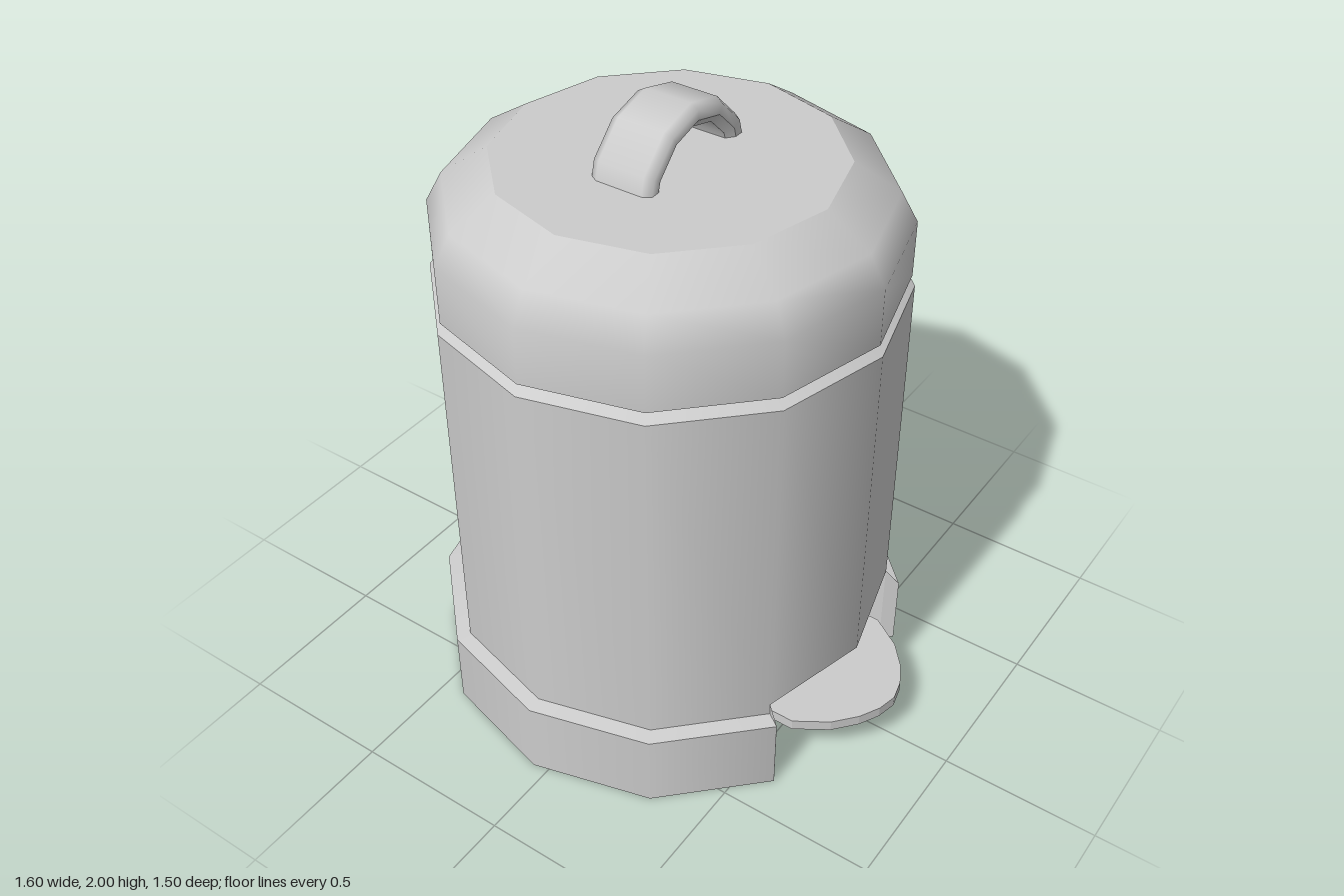
import * as THREE from 'three';

const SIDES = 12;
const CX = -0.05; // axis of the round parts

export function createModel() {
  const model = new THREE.Group();
  const mat = new THREE.MeshStandardMaterial({ color: 0xcccccc, side: THREE.DoubleSide });

  const add = (name, geometry, parent = model) => {
    const mesh = new THREE.Mesh(geometry, mat);
    mesh.name = name;
    parent.add(mesh);
    return mesh;
  };

  // Each profile [r, y]... is smooth within itself; separate profiles meet in sharp edges.
  // An open ring leaves out the two sides around +x.
  const turned = (name, profiles, open = false) => {
    const group = new THREE.Group();
    group.name = name;
    group.position.x = CX;
    for (const p of profiles) {
      const pts = p.map(([r, y]) => new THREE.Vector2(r, y));
      add(name + 'Surface', open
        ? new THREE.LatheGeometry(pts, SIDES - 2, Math.PI * 2 / 3, Math.PI * 5 / 3)
        : new THREE.LatheGeometry(pts, SIDES), group);
    }
    model.add(group);
  };

  const flatFaces = (triangles) => {
    const g = new THREE.BufferGeometry();
    g.setAttribute('position', new THREE.Float32BufferAttribute(triangles.flat(), 3));
    g.computeVertexNormals();
    return g;
  };

  // Base skirt with a gap for the pedal, and the lowest strip of the body
  turned('baseSkirt', [[[0.75, 0], [0.75, 0.25]], [[0.75, 0.25], [0.705, 0.262]]], true);
  turned('bodyFoot', [[[0.705, 0.262], [0.705, 0.302]]], true);

  // Hollow body with a bevelled rim
  turned('body', [[[0.705, 0.302], [0.705, 1.425]], [[0.705, 1.425], [0.66, 1.456]]]);

  // Domed lid with a flat top
  turned('lid', [
    [[0.65, 1.46], [0.695, 1.46]],
    [[0.695, 1.46], [0.695, 1.64], [0.645, 1.733], [0.508, 1.822]],
    [[0.508, 1.822], [0, 1.822]],
  ]);

  // Walls of the pedal recess: [x, z, top height]
  const path = [
    [0.6, 0.375, 0.25], [0.56, 0.352, 0.302], [0.33, 0.35, 0.262],
    [0.33, -0.35, 0.262], [0.56, -0.352, 0.302], [0.6, -0.375, 0.25],
  ];
  const walls = [];
  for (let i = 0; i < path.length - 1; i++) {
    const [ax, az, ah] = path[i], [bx, bz, bh] = path[i + 1];
    walls.push([ax, 0, az], [bx, 0, bz], [bx, bh, bz], [ax, 0, az], [bx, bh, bz], [ax, ah, az]);
  }
  add('recessWalls', flatFaces(walls));

  // Sloping roof of the recess, facing down
  const roof = [
    [0.33, 0.262, -0.35], [0.56, 0.302, -0.352], [0.655, 0.302, 0],
    [0.56, 0.302, 0.352], [0.33, 0.262, 0.35],
  ];
  const roofFaces = [];
  for (let i = 1; i < roof.length - 1; i++) roofFaces.push(roof[0], roof[i], roof[i + 1]);
  add('recessRoof', flatFaces(roofFaces));

  // Foot pedal
  const half = [[0.33, 0.265], [0.59, 0.265], [0.69, 0.2], [0.75, 0.13], [0.785, 0.065], [0.8, 0]];
  const outline = [...half, ...half.slice(0, -1).reverse().map(([x, z]) => [x, -z])];
  const pedal = new THREE.ExtrudeGeometry(
    new THREE.Shape(outline.map(([x, z]) => new THREE.Vector2(x, z))),
    { depth: 0.036, bevelEnabled: false });
  pedal.rotateX(-Math.PI / 2).translate(0, 0.13, 0);
  add('pedal', pedal);

  // Arched handle: a rounded strap section swept through half a turn about the x direction
  const straps = [
    [[0.205, -0.1], [0.235, -0.1], [0.25, -0.075], [0.25, 0.075], [0.235, 0.1], [0.205, 0.1]],
    [[0.205, 0.1], [0.18, 0.08]],
    [[0.18, 0.08], [0.18, -0.08]],
    [[0.18, -0.08], [0.205, -0.1]],
  ];
  const handle = new THREE.Group();
  handle.name = 'handle';
  handle.position.set(CX - 0.003, 1.75, 0);
  for (const s of straps) {
    const g = new THREE.LatheGeometry(s.map(([r, w]) => new THREE.Vector2(r, w)), SIDES / 2, 0, Math.PI);
    g.rotateZ(Math.PI / 2); // turning axis to x, arch upward
    add('handleStrap', g, handle);
  }
  model.add(handle);

  return model;
}
